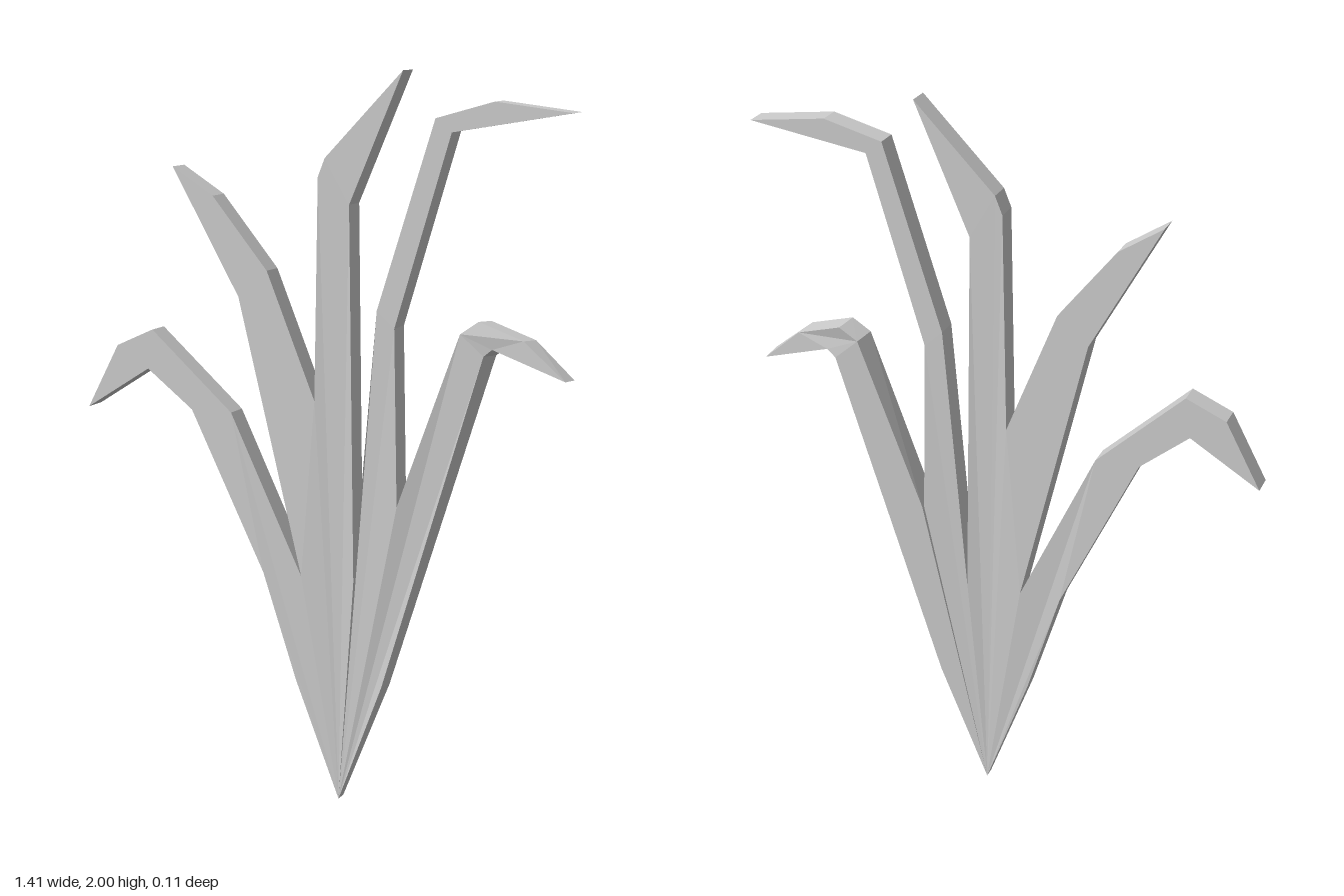
import * as THREE from 'three';

const { clamp, lerp } = THREE.MathUtils;
const ROOT = [0.055, 0];

// Every blade is a wedge from the shared root; neighbours share their fork points.
const forkA = [-0.05, 0.63], forkB = [-0.01, 1.12], forkC = [0.105, 0.63], forkD = [0.23, 0.85];

const blades = {
  outerRightBlade: [forkA, [-0.26, 1.07], [-0.5, 1.285], [-0.61, 1.235], [-0.705, 1.055],
    [-0.515, 1.175], [-0.38, 1.07], [-0.165, 0.63], [-0.07, 0.33]],
  innerRightBlade: [forkB, [-0.15, 1.465], [-0.31, 1.66], [-0.43, 1.735], [-0.235, 1.39], forkA],
  centreBlade: [forkC, [0.09, 1.65], [0.24, 2], [0.02, 1.77], [0, 1.72], forkB],
  innerLeftBlade: [forkD, [0.22, 1.33], [0.375, 1.845], [0.7, 1.9], [0.49, 1.925],
    [0.33, 1.88], [0.17, 1.375], forkC],
  outerLeftBlade: [[0.185, 0.34], [0.465, 1.27], [0.49, 1.29], [0.7, 1.225], [0.58, 1.32],
    [0.45, 1.36], [0.4, 1.325], forkD],
};

// Sideways sway of the twisted blade: back at the crest, forward at the tip.
function sway(x) {
  return x < 0.45
    ? lerp(0, -0.014, clamp((x - 0.23) / 0.22, 0, 1))
    : lerp(-0.014, 0.026, (x - 0.45) / 0.25);
}

function bladeGeometry(outline, twisted) {
  const shape = new THREE.Shape([ROOT, ...outline].map(([x, y]) => new THREE.Vector2(x, y)));
  const geometry = new THREE.ExtrudeGeometry(shape, { depth: 1, bevelEnabled: false });
  const p = geometry.attributes.position;
  for (let i = 0; i < p.count; i++) {
    const x = p.getX(i), y = p.getY(i), front = p.getZ(i) > 0.5;
    // Thickness thins out towards the root
    const half = 0.017 + 0.017 * clamp(y / 0.65, 0, 1);
    const z = -0.006 + (front ? half : -half) + (twisted ? sway(x) : 0);
    const lean = twisted && !front ? 0.011 * clamp((x - 0.06) / 0.35, 0, 1) : 0;
    p.setXYZ(i, Math.min(x + lean, 0.703), y - lean * 0.5, z);
  }
  geometry.computeVertexNormals();
  return geometry;
}

export function createModel() {
  const group = new THREE.Group();
  group.name = 'grassClump';
  const material = new THREE.MeshStandardMaterial({ color: 0xcccccc, flatShading: true });
  for (const [name, outline] of Object.entries(blades)) {
    const mesh = new THREE.Mesh(bladeGeometry(outline, name === 'outerLeftBlade'), material);
    mesh.name = name;
    group.add(mesh);
  }
  return group;
}
